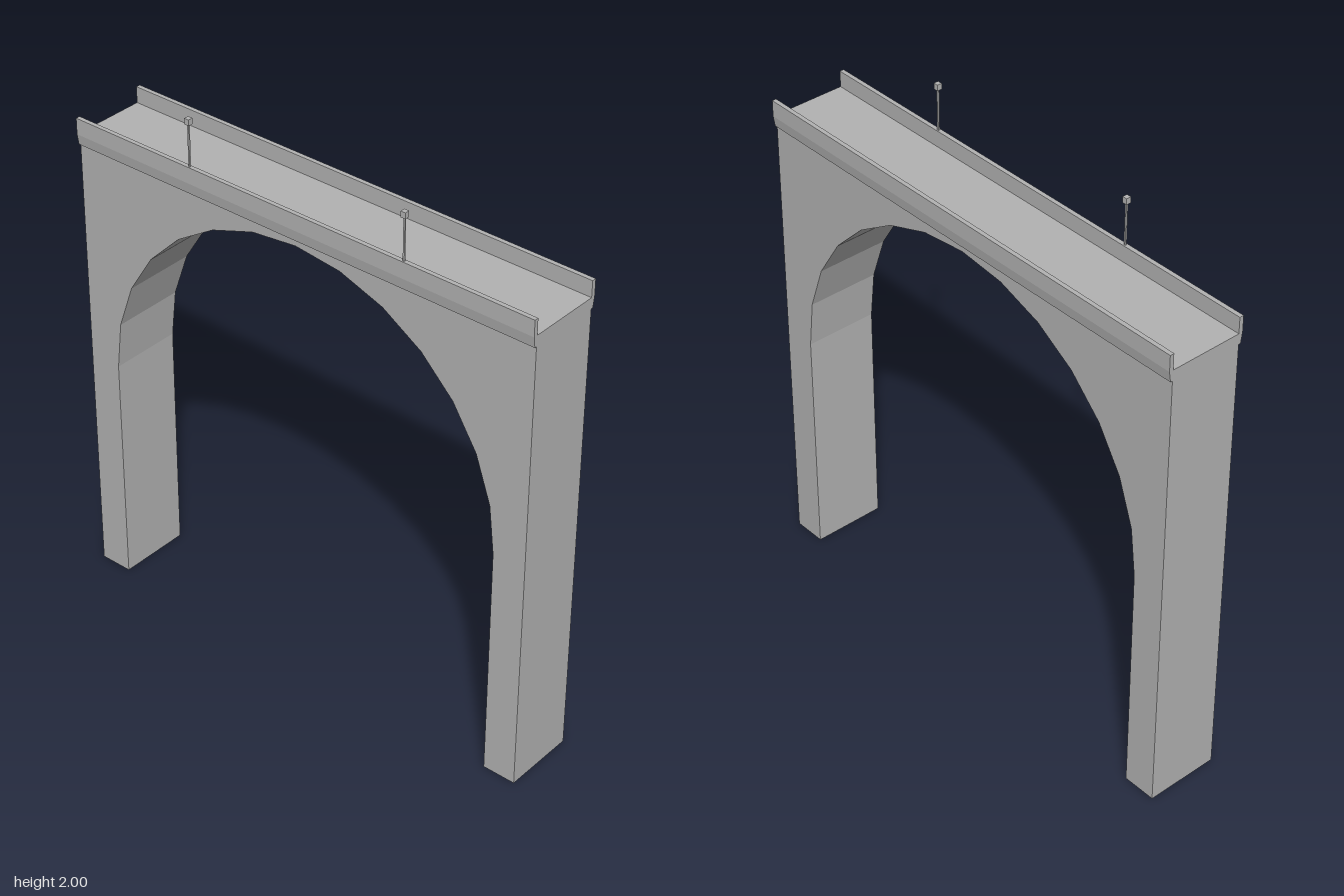
import * as THREE from 'three';

const HALF_X = 0.94, HALF_Z = 0.137, DECK_Y = 1.765;

export function createModel() {
  const group = new THREE.Group();
  const concrete = new THREE.MeshStandardMaterial({ color: 0xb2b2b2 });
  concrete.name = 'concrete grey';

  const add = (name, geometry, x = 0, y = 0, z = 0) => {
    const mesh = new THREE.Mesh(geometry, concrete);
    mesh.name = name;
    mesh.position.set(x, y, z);
    group.add(mesh);
    return mesh;
  };

  // Arch body: straight piers joined by a faceted half ellipse
  const spring = 0.89, rx = 0.815, ry = 0.81, segments = 14;
  const outline = [[-HALF_X, 0], [-rx, 0]].map(p => new THREE.Vector2(...p));
  for (let i = 0; i <= segments; i++) {
    const a = Math.PI * (1 - i / segments);
    outline.push(new THREE.Vector2(rx * Math.cos(a), spring + ry * Math.sin(a)));
  }
  [[rx, 0], [HALF_X, 0], [HALF_X, DECK_Y], [-HALF_X, DECK_Y]]
    .forEach(p => outline.push(new THREE.Vector2(...p)));
  add('archBody', new THREE.ExtrudeGeometry(new THREE.Shape(outline),
    { depth: 2 * HALF_Z, bevelEnabled: false }), 0, 0, -HALF_Z);

  // Parapets: slim walls along the deck, tapering slightly at the foot
  const profile = new THREE.Shape([
    [0.135, 1.725], [0.145, 1.725], [0.151, DECK_Y], [0.151, 1.825], [0.135, 1.825],
  ].map(p => new THREE.Vector2(...p)));
  for (const side of [1, -1]) {
    const geometry = new THREE.ExtrudeGeometry(profile, { depth: 2 * HALF_X, bevelEnabled: false });
    geometry.translate(0, 0, -HALF_X);
    const wall = add(side > 0 ? 'frontParapet' : 'backParapet', geometry);
    wall.rotation.y = -side * Math.PI / 2;
  }

  // Lamp posts on the front parapet
  for (const x of [-0.44, 0.44]) {
    add('lampPole', new THREE.BoxGeometry(0.006, 0.155, 0.006), x, 1.9025, 0.143);
    add('lampHead', new THREE.BoxGeometry(0.018, 0.022, 0.018), x, 1.989, 0.143);
  }

  return group;
}
